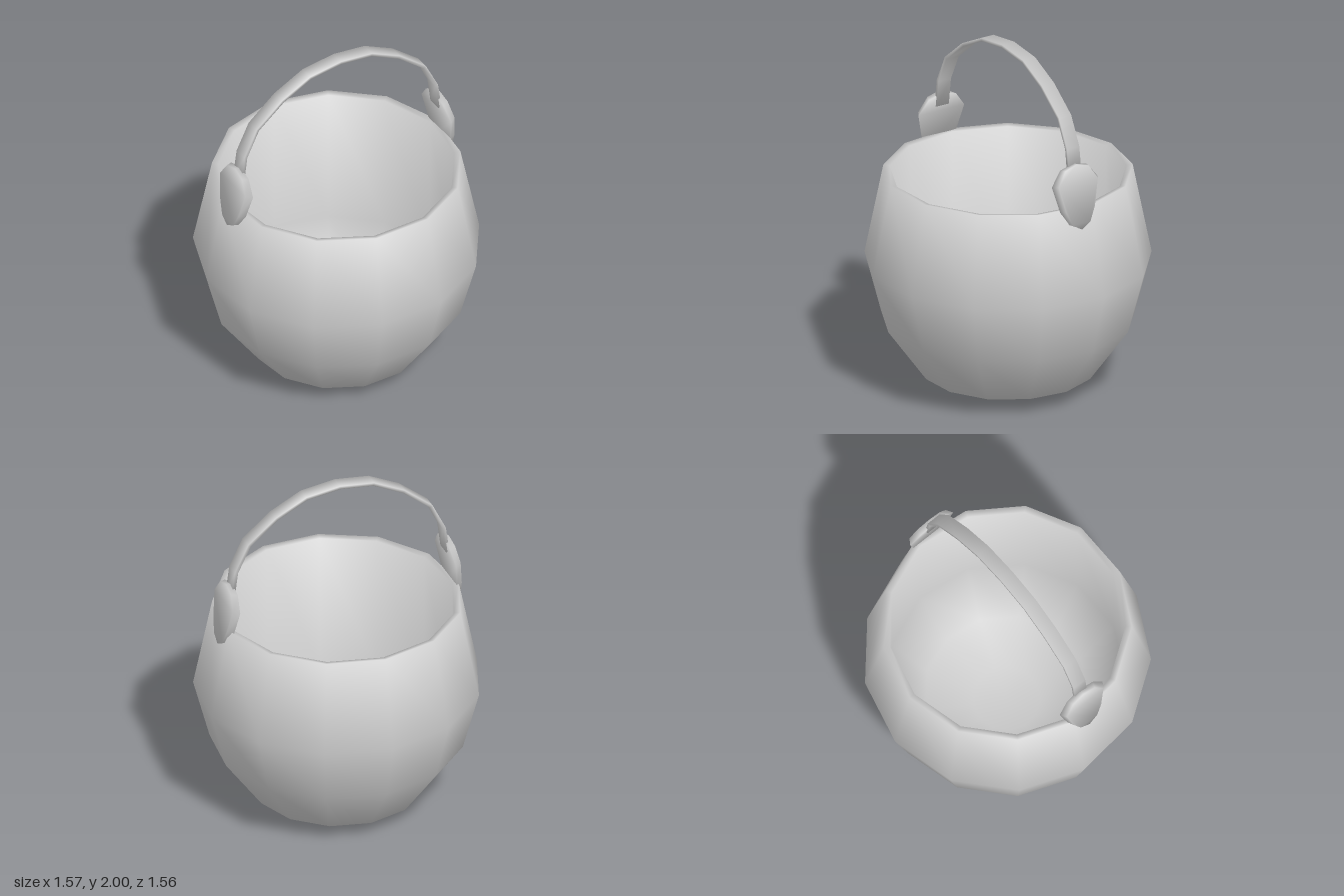
import * as THREE from 'three';
import { mergeVertices } from 'three/addons/utils/BufferGeometryUtils.js';

const V = (x, y) => new THREE.Vector2(x, y);

// Welds a geometry and gives it smooth normals weighted by corner angle
function soften(geometry) {
  geometry.deleteAttribute('normal');
  geometry.deleteAttribute('uv');
  const g = mergeVertices(geometry, 1e-4);
  const pos = g.attributes.position;
  const sums = Array.from({ length: pos.count }, () => new THREE.Vector3());
  const point = (i) => new THREE.Vector3().fromBufferAttribute(pos, i);
  for (let t = 0; t < g.index.count; t += 3) {
    const ids = [0, 1, 2].map((k) => g.index.getX(t + k));
    const p = ids.map(point);
    const face = p[1].clone().sub(p[0]).cross(p[2].clone().sub(p[0]));
    if (face.length() < 1e-9) continue;
    face.normalize();
    ids.forEach((id, k) => {
      const a = p[(k + 1) % 3].clone().sub(p[k]);
      const b = p[(k + 2) % 3].clone().sub(p[k]);
      sums[id].addScaledVector(face, a.angleTo(b));
    });
  }
  const normals = sums.flatMap((n) => n.normalize().toArray());
  g.setAttribute('normal', new THREE.Float32BufferAttribute(normals, 3));
  return g;
}

// Extrudes an outline about z = 0; taper narrows its front face
function softSlab(outline, depth, taper = 1) {
  const g = new THREE.ExtrudeGeometry(new THREE.Shape(outline), { depth, bevelEnabled: false });
  g.translate(0, 0, -depth / 2);
  const pos = g.attributes.position;
  for (let i = 0; i < pos.count; i++) {
    if (pos.getZ(i) > 0) pos.setX(i, pos.getX(i) * taper);
  }
  return soften(g);
}

export function createModel() {
  const group = new THREE.Group();
  const material = new THREE.MeshStandardMaterial({ color: 0xcccccc });
  const body = new THREE.Group();
  body.name = 'bucket';
  body.position.z = 0.012; // an odd number of sides is not symmetric in z
  group.add(body);

  const add = (name, geometry, parent = body) => {
    const mesh = new THREE.Mesh(geometry, material);
    mesh.name = name;
    parent.add(mesh);
    return mesh;
  };

  // Bowl: 13-sided, bulging outside, over the rim and straight down the inside
  const outer = [[0, 0], [0.193, 0.001], [0.478, 0.093], [0.699, 0.4], [0.789, 0.74], [0.685, 1.257]];
  const inner = [[0.65, 1.25], [0.65, 0.42], [0.45, 0.13], [0.185, 0.043], [0, 0.04]];
  const profile = [...outer, ...inner].map(([r, y]) => V(r, y));
  add('bowl', soften(new THREE.LatheGeometry(profile, 13, Math.PI)));

  // Handle: thin arched strap
  const outside = [[0.645, 1.43], [0.623, 1.59], [0.545, 1.75], [0.38, 1.885], [0.2, 1.975]];
  const inside = [[0.625, 1.43], [0.605, 1.585], [0.53, 1.74], [0.37, 1.87], [0.195, 1.958]];
  const arch = (side, top) => [
    ...side.map(([x, y]) => V(x, y)),
    V(0, top),
    ...side.map(([x, y]) => V(-x, y)).reverse(),
  ];
  add('handle', softSlab([...arch(outside, 2), ...arch(inside, 1.982).reverse()], 0.082));

  // Leaf-shaped mounts joining the handle to the rim, narrower on the outer face
  const half = [[0.09, 0.162], [0.152, 0.08], [0.112, -0.07], [0.068, -0.15]];
  const leaf = [
    V(0, 0.185),
    ...half.map(([x, y]) => V(-x, y)),
    V(0, -0.185),
    ...half.map(([x, y]) => V(x, y)).reverse(),
  ];
  const leafGeometry = softSlab(leaf, 0.036, 0.85).rotateY(Math.PI / 2);
  for (const [name, turn] of [['leftMount', 0], ['rightMount', Math.PI]]) {
    const side = new THREE.Group();
    side.rotation.y = turn;
    body.add(side);
    const mount = add(name, leafGeometry, side);
    mount.position.set(0.667, 1.32, 0);
    mount.rotation.z = 0.14;
  }
  return group;
}
